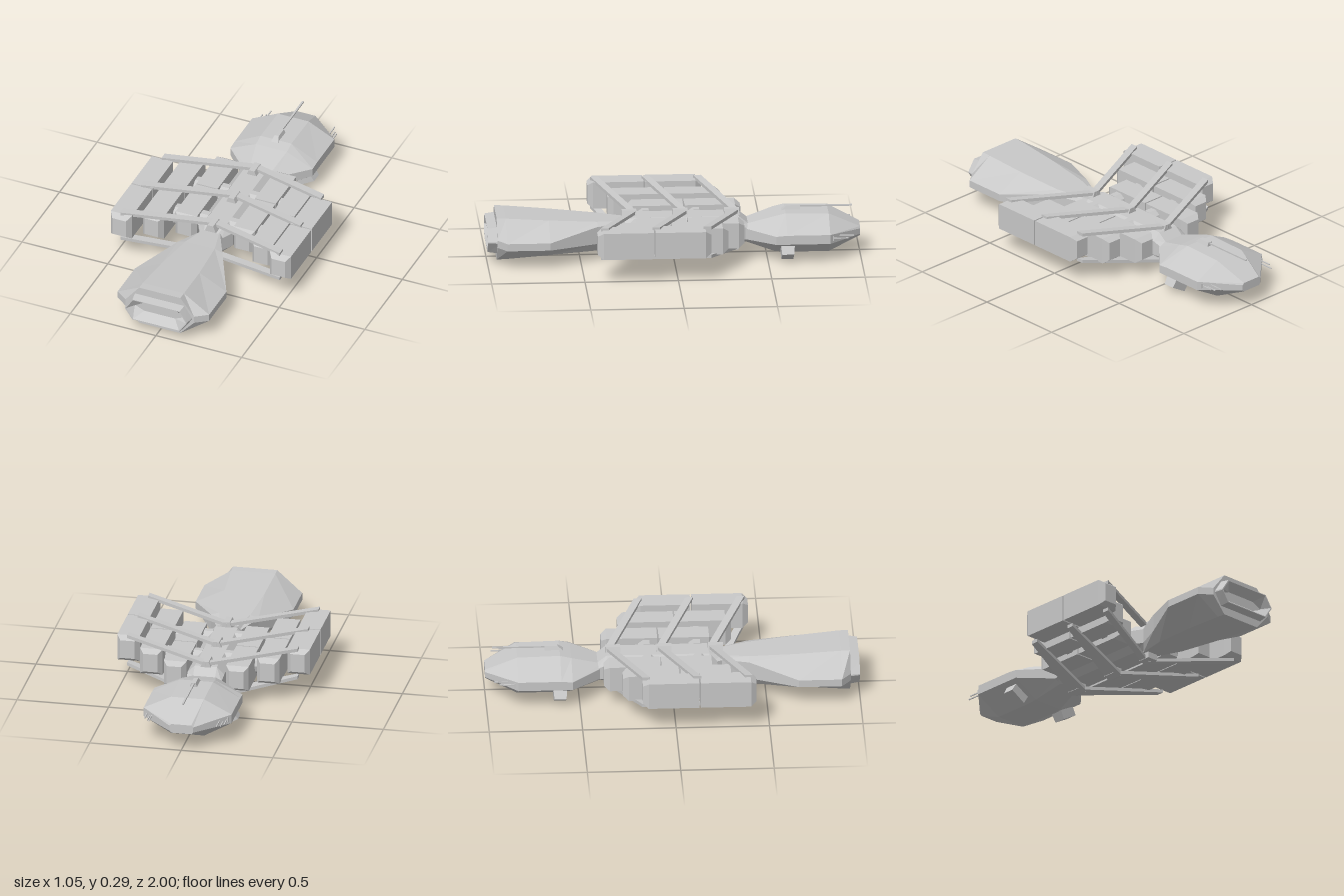
import * as THREE from 'three';

const hull = new THREE.MeshStandardMaterial({ color: 0xc8c8c8, flatShading: true });
hull.name = 'hullGrey';

// Eight-sided loft; each section is [z, flat half width, full half width, top, upper edge, lower edge, bottom]
function loft(sections) {
  const rings = sections.map(([z, a, w, t, hi, lo, b]) => [
    [a, t, z], [-a, t, z], [-w, hi, z], [-w, lo, z],
    [-a, b, z], [a, b, z], [w, lo, z], [w, hi, z]]);
  const pos = [];
  const tri = (...pts) => pts.forEach((p) => pos.push(...p));
  for (let s = 0; s < rings.length - 1; s++) {
    const p = rings[s], q = rings[s + 1];
    for (let i = 0; i < 8; i++) {
      const j = (i + 1) % 8;
      tri(p[i], p[j], q[i]);
      tri(p[j], q[j], q[i]);
    }
  }
  const first = rings[0], last = rings[rings.length - 1];
  for (let i = 1; i < 7; i++) {
    tri(first[0], first[i + 1], first[i]);
    tri(last[0], last[i], last[i + 1]);
  }
  const g = new THREE.BufferGeometry();
  g.setAttribute('position', new THREE.Float32BufferAttribute(pos, 3));
  g.computeVertexNormals();
  return g;
}

// Box whose vertices are moved by a rule
function shapedBox(w, h, d, rule) {
  const g = new THREE.BoxGeometry(w, h, d).toNonIndexed();
  const p = g.attributes.position;
  const v = new THREE.Vector3();
  for (let i = 0; i < p.count; i++) {
    v.fromBufferAttribute(p, i);
    rule(v);
    p.setXYZ(i, v.x, v.y, v.z);
  }
  g.computeVertexNormals();
  return g;
}

// Swept strut from the spine to the outer row, widening towards its root
function strut(side, rise, rootExtra) {
  return shapedBox(0.465, 0.018, 0.042, (v) => {
    const out = v.x + 0.2325;
    if (out < 0.01 && v.z > 0) v.z += rootExtra;
    v.z += out * 0.38;
    v.y += out * rise;
    v.x = side * out;
  });
}

// Reverses the corner order of a mirrored geometry
function flip(g) {
  const a = g.attributes.position.array;
  for (let i = 0; i < a.length; i += 9) {
    for (let k = 0; k < 3; k++) [a[i + k], a[i + 3 + k]] = [a[i + 3 + k], a[i + k]];
  }
  g.computeVertexNormals();
  return g;
}

export function createModel() {
  const model = new THREE.Group();
  model.name = 'cargoShip';
  const add = (name, geometry, x = 0, y = 0, z = 0) => {
    const m = new THREE.Mesh(geometry, hull);
    m.name = name;
    m.position.set(x, y, z);
    model.add(m);
    return m;
  };

  // Command section
  add('commandHull', loft([
    [-1.0, 0.055, 0.065, 0.15, 0.14, 0.11, 0.10],
    [-0.83, 0.09, 0.24, 0.235, 0.16, 0.11, 0.025],
    [-0.6, 0.09, 0.24, 0.24, 0.16, 0.11, 0.025],
    [-0.54, 0.09, 0.24, 0.225, 0.155, 0.11, 0.03],
    [-0.38, 0.06, 0.09, 0.175, 0.16, 0.10, 0.08],
  ]));

  // Spine
  add('spine', loft([
    [-0.4, 0.06, 0.095, 0.18, 0.16, 0.10, 0.08],
    [-0.35, 0.06, 0.1, 0.22, 0.18, 0.10, 0.07],
    [0.2, 0.06, 0.1, 0.22, 0.18, 0.10, 0.07],
    [0.27, 0.04, 0.065, 0.2, 0.18, 0.10, 0.07],
  ]));

  // Engine with recessed exhaust
  add('engineHull', loft([
    [0.24, 0.04, 0.055, 0.2, 0.18, 0.10, 0.06],
    [0.41, 0.085, 0.13, 0.21, 0.195, 0.10, 0.05],
    [0.67, 0.11, 0.267, 0.23, 0.15, 0.11, 0.036],
    [0.9, 0.12, 0.267, 0.248, 0.15, 0.11, 0.022],
    [0.95, 0.12, 0.2, 0.25, 0.15, 0.11, 0.02],
  ]));
  add('exhaustNozzle', loft([
    [0.93, 0.146, 0.192, 0.208, 0.137, 0.129, 0.06],
    [1.0, 0.138, 0.18, 0.199, 0.136, 0.13, 0.069],
    [1.0, 0.134, 0.174, 0.195, 0.135, 0.131, 0.073],
    [0.95, 0.09, 0.145, 0.16, 0.135, 0.131, 0.107],
  ]));

  // Dorsal mast on a wedge fairing
  add('mastBase', shapedBox(0.06, 0.05, 0.13, (v) => {
    if (v.y > 0) {
      v.x *= 0.4;
      if (v.z > 0) v.z -= 0.06;
    }
  }), 0, 0.235, -0.615);
  add('mast', new THREE.BoxGeometry(0.01, 0.008, 0.34), 0, 0.253, -0.79);

  for (const side of [1, -1]) {
    // Whisker antennas and belly pods
    [[0.185, 0.14, -0.88, 0.16], [0.2, 0.13, -0.86, 0.14], [0.217, 0.135, -0.86, 0.11]].forEach(([x, y, z, len]) =>
      add('whiskerAntenna', new THREE.BoxGeometry(0.005, 0.006, len), side * x, y, z));
    add('antennaMount', new THREE.BoxGeometry(0.05, 0.025, 0.06), side * 0.2, 0.135, -0.82);
    const pod = add('bellyPod', shapedBox(0.1, 0.09, 0.08, (v) => {
      if (v.y < 0) v.z *= 0.8;
    }), side * 0.168, 0.066, -0.605);
    pod.rotation.z = side * 0.53;

    // Cargo containers: x, y, z of the pair's middle, height
    [[0.17, 0.163, -0.067, 0.14], [0.319, 0.18, 0.028, 0.146], [0.464, 0.205, 0.127, 0.146]].forEach(([x, y, z, h]) => {
      for (const end of [1, -1]) {
        add('cargoBody', new THREE.BoxGeometry(0.123, h, 0.27), side * x, y, z + end * 0.139);
        add('cargoEnd', shapedBox(0.123, h, 0.03, (v) => {
          if (v.z * end > 0) { v.x *= 0.64; v.y *= 0.7; }
        }), side * x, y, z + end * 0.289);
      }
    });

    // Docking tubes from the spine to the middle row
    for (const z of [-0.13, 0.14]) {
      const tube = add('dockingTube', new THREE.CylinderGeometry(0.055, 0.055, 0.22, 10), side * 0.17, 0.17, z);
      tube.rotation.z = Math.PI / 2;
    }

    // Swept frame struts above and below; the rear lower ones are broad at the root
    for (const [z, lowerExtra] of [[-0.335, 0.06], [-0.06, 0.06], [0.215, 0]]) {
      for (const [name, rise, y, extra] of [['upperStrut', 0.108, 0.232, 0], ['lowerStrut', 0.2, 0.03, lowerExtra]]) {
        const g = strut(side, rise, extra);
        add(name, side < 0 ? flip(g) : g, 0, y, z);
      }
    }
  }

  // Strut brackets on the spine
  for (const z of [-0.335, -0.06, 0.215]) {
    add('upperBracket', shapedBox(0.065, 0.04, 0.08, (v) => { if (v.y > 0) v.x *= 0.5; }), 0, 0.228, z + 0.02);
    add('lowerBracket', new THREE.BoxGeometry(0.065, 0.05, 0.07), 0, 0.05, z + 0.02);
  }
  return model;
}
